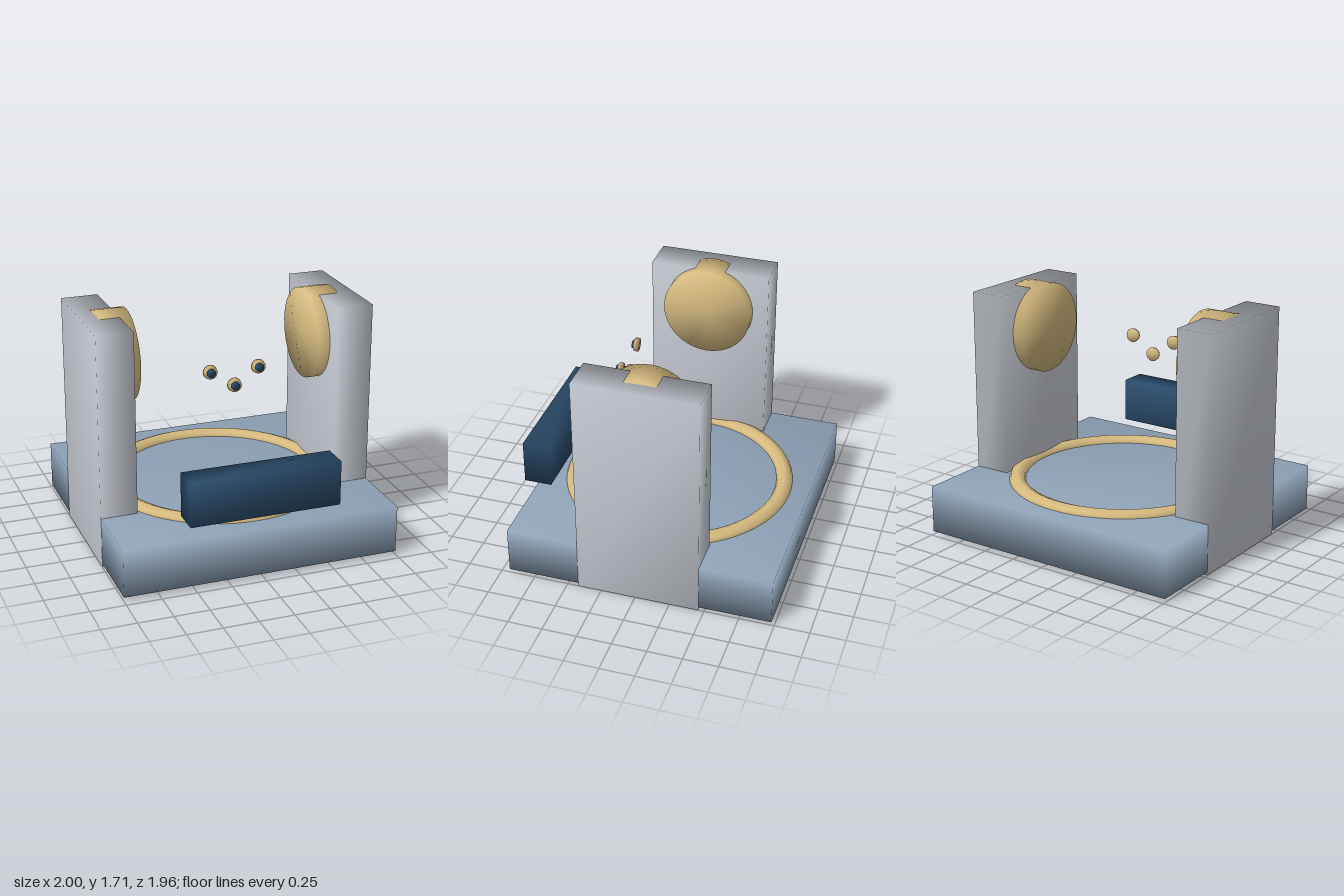
import * as THREE from 'three';
import { mergeVertices } from 'three/addons/utils/BufferGeometryUtils.js';

const paint = (name, color) => {
  const m = new THREE.MeshStandardMaterial({ color });
  m.name = name;
  return m;
};

// Share corner vertices so normals blend across every edge
function soften(geometry) {
  geometry.deleteAttribute('normal');
  geometry.deleteAttribute('uv');
  const g = mergeVertices(geometry, 1e-4);
  g.computeVertexNormals();
  return g;
}

// Box given by its minimum and maximum corners
function boxBetween(a, b) {
  const g = new THREE.BoxGeometry(b[0] - a[0], b[1] - a[1], b[2] - a[2]);
  g.translate((a[0] + b[0]) / 2, (a[1] + b[1]) / 2, (a[2] + b[2]) / 2);
  return soften(g);
}

export function createModel() {
  const model = new THREE.Group();
  const slate = paint('slate blue', 0x8fa3b8);
  const silver = paint('pale silver', 0xc8ccd4);
  const gold = paint('soft gold', 0xd6bb80);
  const navy = paint('navy', 0x294a69);

  const add = (name, geometry, material, parent = model) => {
    const mesh = new THREE.Mesh(geometry, material);
    mesh.name = name;
    parent.add(mesh);
    return mesh;
  };

  // Platform
  add('base', boxBetween([-0.998, 0.025, -0.98], [0.998, 0.368, 0.94]), slate);

  // Ring half sunk into the platform
  const ring = add('floorRing', new THREE.TorusGeometry(0.77, 0.067, 8, 64), gold);
  ring.rotation.x = -Math.PI / 2;
  ring.position.set(0, 0.348, -0.017);

  // Floating console
  add('console', boxBetween([-0.54, 0.48, 0.78], [0.54, 0.8, 0.98]), navy);

  // Pillars, each with a round disc set in its inner face
  for (const side of [-1, 1]) {
    const label = side > 0 ? 'left' : 'right';
    const [x0, x1] = side > 0 ? [0.735, 1] : [-1, -0.735];
    add(label + 'Pillar', boxBetween([x0, 0, -0.46], [x1, 1.69, 0.42]), silver);

    const disc = new THREE.CylinderGeometry(0.327, 0.327, 0.225, 40);
    disc.rotateZ(Math.PI / 2);
    add(label + 'Disc', soften(disc), gold).position.set(side * 0.7675, 1.384, -0.02);
  }

  // Three floating lamps with dark lenses
  [[-0.178, 1.315], [0.175, 1.315], [0, 1.2]].forEach(([x, y], i) => {
    const lamp = new THREE.Group();
    lamp.name = 'lamp' + (i + 1);
    lamp.position.set(x, y, 0.36);
    const rim = new THREE.CylinderGeometry(0.047, 0.051, 0.028, 20);
    const lens = new THREE.CylinderGeometry(0.031, 0.031, 0.03, 12);
    add('lampRim', soften(rim.rotateX(Math.PI / 2)), gold, lamp);
    add('lampLens', soften(lens.rotateX(Math.PI / 2)), navy, lamp).position.z = 0.015;
    model.add(lamp);
  });

  return model;
}
